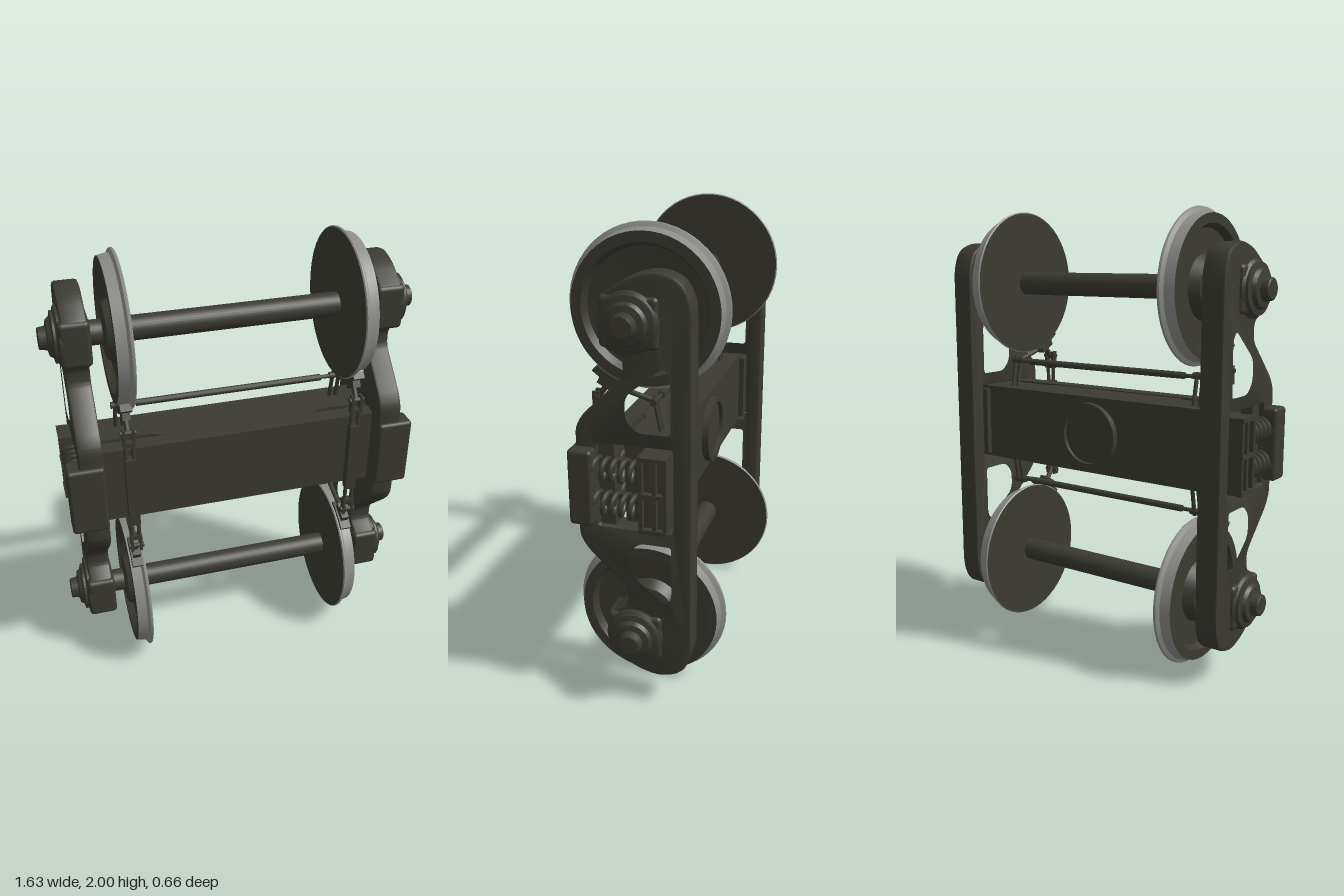
import * as THREE from 'three';
import { toCreasedNormals } from 'three/addons/utils/BufferGeometryUtils.js';
import { RoundedBoxGeometry } from 'three/addons/geometries/RoundedBoxGeometry.js';

const iron = new THREE.MeshStandardMaterial({ color: 0x3b3a32 });
iron.name = 'dark iron';
const steel = new THREE.MeshStandardMaterial({ color: 0x8c8c89 });
steel.name = 'bare steel';

const AXLE = 0.668; // axle distance from the middle

function add(group, name, geo, mat = iron, x = 0, y = 0, z = 0) {
  const m = new THREE.Mesh(geo, mat);
  m.name = name;
  m.position.set(x, y, z);
  group.add(m);
  return m;
}

// box given by its extents
function box(group, name, x0, x1, y0, y1, z0, z1) {
  return add(group, name, new THREE.BoxGeometry(x1 - x0, y1 - y0, z1 - z0), iron,
    (x0 + x1) / 2, (y0 + y1) / 2, (z0 + z1) / 2);
}

// round bar between two points
function bar(group, name, a, b, r, sides = 12) {
  const p = new THREE.Vector3(...a), q = new THREE.Vector3(...b);
  const d = q.clone().sub(p);
  const m = add(group, name, new THREE.CylinderGeometry(r, r, d.length(), sides));
  m.position.copy(p).add(q).multiplyScalar(0.5);
  m.quaternion.setFromUnitVectors(new THREE.Vector3(0, 1, 0), d.normalize());
  return m;
}

// polygon with rounded corners, each point being [u, v, radius]
function rounded(points, path) {
  const n = points.length;
  points.forEach((p, i) => {
    const c = new THREE.Vector2(p[0], p[1]);
    const toward = (o) => {
      const d = new THREE.Vector2(o[0], o[1]).sub(c);
      return d.clone().setLength(Math.min(p[2] ?? 0.012, d.length() * 0.45)).add(c);
    };
    const s = toward(points[(i + n - 1) % n]), e = toward(points[(i + 1) % n]);
    if (i === 0) path.moveTo(s.x, s.y);
    else path.lineTo(s.x, s.y);
    path.quadraticCurveTo(c.x, c.y, e.x, e.y);
  });
  path.closePath();
  return path;
}
const flip = (pts) => pts.map(([u, v, r]) => [u, -v, r]).reverse();

// profile turned around the x axis
function turned(profile) {
  const g = new THREE.LatheGeometry(profile.map(([r, h]) => new THREE.Vector2(r, h)), 56);
  return toCreasedNormals(g.rotateZ(-Math.PI / 2), 0.5);
}

// side frame profile in z and y, with three openings
function frameGeometry() {
  const half = [[-0.24, 0.74, 0.06], [-0.2, 0.83, 0.05], [-0.1, 0.862, 0.05], [0.0, 0.835, 0.04],
    [0.11, 0.765, 0.02], [0.11, 0.575, 0.02], [0.03, 0.53, 0.03], [0.03, 0.455, 0.03],
    [0.2, 0.29, 0.03], [0.232, 0.235, 0.03]];
  const shape = rounded([...half, ...flip(half)], new THREE.Shape());
  const opening = [[-0.02, 0.225, 0.03], [-0.17, 0.225, 0.03], [-0.17, 0.48, 0.04],
    [-0.13, 0.52, 0.03], [-0.05, 0.455, 0.06], [0.035, 0.385, 0.04], [0.035, 0.28, 0.04]];
  shape.holes.push(rounded(opening, new THREE.Path()), rounded(flip(opening), new THREE.Path()));
  shape.holes.push(rounded([[-0.165, -0.178], [0.145, -0.178], [0.145, 0.178], [-0.165, 0.178]], new THREE.Path()));
  const g = new THREE.ExtrudeGeometry(shape, {
    depth: 0.081, bevelThickness: 0.012, bevelSize: 0.012, bevelOffset: -0.012, bevelSegments: 2, curveSegments: 8,
  });
  return toCreasedNormals(g.rotateY(-Math.PI / 2).translate(0.713, 0, 0), 0.6);
}

function springGeometry() {
  const pts = [];
  const turns = 5, steps = turns * 12;
  for (let i = 0; i <= steps; i++) {
    const a = (i / steps) * turns * Math.PI * 2;
    pts.push(new THREE.Vector3(Math.cos(a) * 0.043, Math.sin(a) * 0.043, 0.15 - 0.19 * i / steps));
  }
  return new THREE.TubeGeometry(new THREE.CatmullRomCurve3(pts), 110, 0.011, 7);
}

function buildWheel(parent, y) {
  const wheel = new THREE.Group();
  wheel.name = 'wheel';
  wheel.position.set(0.472, y, 0);
  parent.add(wheel);
  add(wheel, 'wheelBack', turned([[0, 0], [0.327, 0]]));
  add(wheel, 'wheelTread', turned([[0.327, 0], [0.332, 0.005], [0.33, 0.013], [0.313, 0.023], [0.304, 0.068]]), steel);
  add(wheel, 'wheelFace', turned([[0.304, 0.068], [0.262, 0.068], [0.245, 0.036], [0.14, 0.03],
    [0.115, 0.075], [0.05, 0.085]]));
  // bearing and its end cap
  add(parent, 'axleBox', new RoundedBoxGeometry(0.13, 0.2, 0.234, 3, 0.02), iron, 0.675, y, 0);
  add(parent, 'bearingCap', turned([[0.05, 0], [0.12, 0], [0.12, 0.015], [0.108, 0.025], [0.108, 0.035],
    [0.085, 0.04], [0.075, 0.055], [0.05, 0.06], [0.046, 0.09], [0.04, 0.094], [0, 0.094]]), iron, 0.72, y, 0);
}

// brake gear next to one wheel, symmetric about its own plane
function buildBrake(parent, sign) {
  const brake = new THREE.Group();
  brake.name = 'brakeGear';
  brake.position.x = 0.508;
  if (sign < 0) brake.rotation.z = Math.PI;
  parent.add(brake);
  // shoe hugging the tread
  const shoe = new THREE.Shape();
  shoe.absarc(0, AXLE, 0.345, -1.28, -0.85, false);
  shoe.absarc(0, AXLE, 0.313, -0.85, -1.28, true);
  const g = new THREE.ExtrudeGeometry(shoe, { depth: 0.05, bevelEnabled: false, curveSegments: 10 });
  add(brake, 'brakeShoe', g.rotateY(-Math.PI / 2).translate(0.025, 0, 0));
  const head = add(brake, 'brakeHead', new THREE.BoxGeometry(0.034, 0.05, 0.08), iron, 0, 0.36, 0.165);
  head.rotation.x = -0.5;
  // lever, strut and hanger
  bar(brake, 'brakeStrut', [0, 0.35, 0.16], [0, 0.295, -0.03], 0.011);
  bar(brake, 'brakeHanger', [0, 0.35, 0.17], [0, 0.29, 0.215], 0.012);
  for (const x of [-0.015, 0.015]) {
    bar(brake, 'brakeLever', [x, 0.315, -0.03], [x, 0.16, -0.06], 0.009);
  }
  // clevis and pin
  for (const x of [-0.02, 0.02]) box(brake, 'clevisCheek', x - 0.006, x + 0.006, 0.24, 0.32, 0.2, 0.23);
  box(brake, 'clevisBase', -0.026, 0.026, 0.235, 0.255, 0.2, 0.23);
  bar(brake, 'clevisPin', [-0.034, 0.298, 0.215], [0.034, 0.298, 0.215], 0.012);
  bar(brake, 'leverPin', [-0.034, 0.298, -0.03], [0.034, 0.298, -0.03], 0.015);
}

// everything on the +x side
function buildSide(name) {
  const side = new THREE.Group();
  side.name = name;
  add(side, 'sideFrame', frameGeometry());
  const seat = new RoundedBoxGeometry(0.16, 0.32, 0.1, 2, 0.015);
  add(side, 'springSeat', seat, iron, 0.7, 0, 0.199);
  // bolster end with raised rim and rib
  box(side, 'bolsterEnd', 0.61, 0.755, -0.16, 0.16, -0.155, -0.04);
  for (const y of [-0.152, 0, 0.152]) box(side, 'bolsterEndRib', 0.75, 0.78, y - 0.009, y + 0.009, -0.155, -0.04);
  for (const z of [-0.147, -0.105, -0.049]) box(side, 'bolsterEndRim', 0.75, 0.777, -0.16, 0.16, z - 0.008, z + 0.008);
  const spring = springGeometry();
  for (const x of [0.615, 0.722]) {
    for (const y of [-0.073, 0.073]) add(side, 'spring', spring, iron, x, y, 0);
  }
  for (const s of [-1, 1]) {
    buildWheel(side, s * AXLE);
    buildBrake(side, s);
  }
  // twin tie bars with a sleeve
  for (const x of [0.492, 0.524]) bar(side, 'tieBar', [x, -0.25, 0.215], [x, 0.25, 0.215], 0.009);
  box(side, 'tieSleeve', 0.484, 0.532, -0.17, 0.17, 0.195, 0.235);
  return side;
}

export function createModel() {
  const model = new THREE.Group();
  model.name = 'railwayBogie';
  const body = new THREE.Group();
  body.name = 'bogie';
  body.position.y = 1;
  model.add(body);

  // the second side is the first turned half round
  body.add(buildSide('leftSide'));
  const right = buildSide('rightSide');
  right.rotation.z = Math.PI;
  body.add(right);

  // axles and brake rods
  for (const s of [-1, 1]) {
    bar(body, 'axle', [-0.75, s * AXLE, 0], [0.75, s * AXLE, 0], 0.053, 32);
    bar(body, 'brakeRod', [-0.54, s * 0.295, -0.03], [0.54, s * 0.295, -0.03], 0.009);
    bar(body, 'brakeRodSleeve', [-0.43, s * 0.295, -0.03], [0.43, s * 0.295, -0.03], 0.015);
  }

  // bolster, deeper in the middle
  const plan = new THREE.Shape([[-0.66, -0.13], [0.66, -0.13], [0.66, 0.05], [0.39, 0.05], [0.34, 0.073],
    [-0.34, 0.073], [-0.39, 0.05], [-0.66, 0.05]].map(([x, z]) => new THREE.Vector2(x, z)));
  const bolster = new THREE.ExtrudeGeometry(plan, { depth: 0.35, bevelEnabled: false });
  add(body, 'bolster', bolster.rotateX(Math.PI / 2).translate(0, 0.175, 0));
  box(body, 'springPlank', -0.7, 0.7, -0.178, 0.178, 0.08, 0.155);

  // centre plate with a raised rim
  const plate = new THREE.LatheGeometry([[0.15, 0], [0.15, 0.03], [0.128, 0.03], [0.128, 0.012], [0, 0.012]]
    .map(([r, h]) => new THREE.Vector2(r, h)), 48);
  add(body, 'centrePlate', toCreasedNormals(plate.rotateX(-Math.PI / 2), 0.5), iron, 0, 0, -0.13);
  return model;
}
